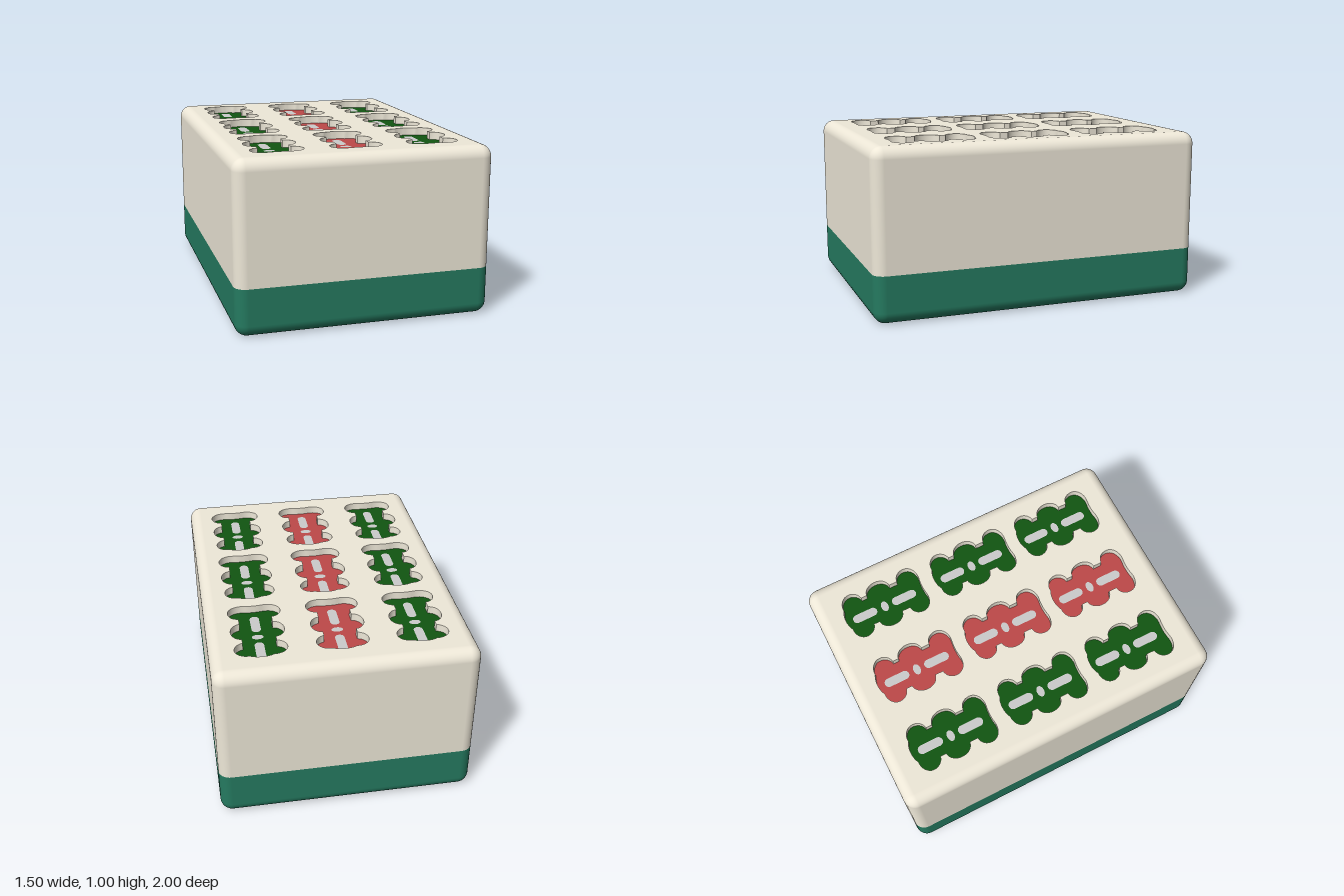
import * as THREE from 'three';
import { mergeGeometries, toCreasedNormals } from 'three/addons/utils/BufferGeometryUtils.js';

const HX = 0.748, HZ = 1, R = 0.07, SEAM = 0.285, TOP = 1, DEPTH = 0.045;
const COLUMNS = [-0.457, 0, 0.457], ROWS = [-0.59, 0, 0.583];

const paint = (color) => new THREE.MeshStandardMaterial({ color });

function part(name, geometry, material) {
  const mesh = new THREE.Mesh(geometry, material);
  mesh.name = name;
  return mesh;
}

// Shape lying flat, facing up; shape y points to the back (-z)
const flat = (shape) => new THREE.ShapeGeometry(shape).rotateX(-Math.PI / 2);

// Open-bottomed rounded block of the given height, with optional holes in its top
function roundedHalf(height, holes = []) {
  const pos = [], nor = [], index = [], N = 8;
  const cx = HX - R, cz = HZ - R;
  const corners = [[cx, cz], [-cx, cz], [-cx, -cz], [cx, -cz]];
  const rings = [[0, 0]];
  for (let i = 0; i <= N; i++) rings.push([height - R, (i / N) * Math.PI / 2]);
  for (const [y, phi] of rings) {
    corners.forEach(([x, z], q) => {
      for (let k = 0; k <= N; k++) {
        const a = (q + k / N) * Math.PI / 2;
        const n = [Math.cos(a) * Math.cos(phi), Math.sin(phi), Math.sin(a) * Math.cos(phi)];
        pos.push(x + R * n[0], y + R * n[1], z + R * n[2]);
        nor.push(...n);
      }
    });
  }
  const M = 4 * (N + 1);
  for (let r = 0; r < rings.length - 1; r++) {
    for (let i = 0; i < M; i++) {
      const a = r * M + i, b = r * M + (i + 1) % M;
      index.push(a, a + M, b, b, a + M, b + M);
    }
  }
  const side = new THREE.BufferGeometry();
  side.setAttribute('position', new THREE.Float32BufferAttribute(pos, 3));
  side.setAttribute('normal', new THREE.Float32BufferAttribute(nor, 3));
  side.setIndex(index);

  const face = new THREE.Shape([[cx, cz], [-cx, cz], [-cx, -cz], [cx, -cz]].map((p) => new THREE.Vector2(...p)));
  face.holes.push(...holes);
  const cap = flat(face).translate(0, height, 0);
  cap.deleteAttribute('uv');
  return mergeGeometries([side, cap]);
}

// Clockwise outline of one bamboo stick: three lobes joined by two necks
function bambooOutline() {
  const half = new THREE.Path();
  half.moveTo(0, 0.256);
  half.quadraticCurveTo(0.04, 0.256, 0.068, 0.24);
  half.bezierCurveTo(0.11, 0.244, 0.148, 0.215, 0.148, 0.178);
  half.bezierCurveTo(0.148, 0.145, 0.125, 0.12, 0.095, 0.114);
  half.lineTo(0.095, 0.077);
  half.bezierCurveTo(0.13, 0.074, 0.153, 0.04, 0.153, 0.002);
  half.bezierCurveTo(0.153, -0.04, 0.13, -0.068, 0.095, -0.073);
  half.lineTo(0.095, -0.125);
  half.bezierCurveTo(0.13, -0.128, 0.153, -0.155, 0.153, -0.19);
  half.bezierCurveTo(0.153, -0.235, 0.105, -0.262, 0.055, -0.254);
  half.quadraticCurveTo(0.03, -0.249, 0, -0.249);
  const right = half.getPoints(8);
  const left = right.slice(1, -1).reverse().map((p) => new THREE.Vector2(-p.x, p.y));
  return [...right, ...left];
}

// Upright slot with round ends
function slot(y0, y1, r) {
  const s = new THREE.Shape();
  s.absarc(0, y1 - r, r, 0, Math.PI);
  s.absarc(0, y0 + r, r, Math.PI, 2 * Math.PI);
  s.closePath();
  return s;
}

// Inward-facing wall of a recess
function recessWall(points) {
  const pos = [];
  points.forEach((p, i) => {
    const q = points[(i + 1) % points.length];
    const a = [p.x, 0, -p.y], b = [q.x, 0, -q.y];
    const c = [q.x, -DEPTH, -q.y], d = [p.x, -DEPTH, -p.y];
    pos.push(...d, ...c, ...b, ...d, ...b, ...a);
  });
  const g = new THREE.BufferGeometry();
  g.setAttribute('position', new THREE.Float32BufferAttribute(pos, 3));
  return toCreasedNormals(g, 0.6);
}

export function createModel() {
  const model = new THREE.Group();
  model.name = 'tile';
  const ivory = paint(0xeee8d8), jade = paint(0x257a60);
  const green = paint(0x115511), red = paint(0xbd4848), grey = paint(0xcccccc);

  // Carved motif, shared by all nine recesses
  const outline = bambooOutline();
  const oval = new THREE.Shape();
  oval.absellipse(0, 0.005, 0.034, 0.022, 0, Math.PI * 2);
  const inlays = [slot(0.058, 0.214, 0.027), oval, slot(-0.203, -0.045, 0.027)];
  const floorShape = new THREE.Shape(outline);
  floorShape.holes.push(...inlays);
  const wallGeo = recessWall(outline);
  const floorGeo = flat(floorShape);
  const inlayGeo = flat(inlays);

  const holes = [];
  for (const x of COLUMNS) {
    for (const z of ROWS) {
      holes.push(new THREE.Path(outline.map((p) => new THREE.Vector2(p.x + x, p.y - z))));
      const bamboo = new THREE.Group();
      bamboo.name = 'bambooEngraving';
      bamboo.position.set(x, TOP, z);
      const floor = part('engravingFloor', floorGeo, x === 0 ? red : green);
      const inlay = part('engravingInlay', inlayGeo, grey);
      floor.position.y = inlay.position.y = -DEPTH;
      bamboo.add(part('engravingWall', wallGeo, ivory), floor, inlay);
      model.add(bamboo);
    }
  }

  // Ivory upper body and jade backing meet at the seam
  const body = part('upperBody', roundedHalf(TOP - SEAM, holes), ivory);
  const base = part('backing', roundedHalf(SEAM).rotateX(Math.PI), jade);
  body.position.y = base.position.y = SEAM;
  model.add(body, base);
  return model;
}
